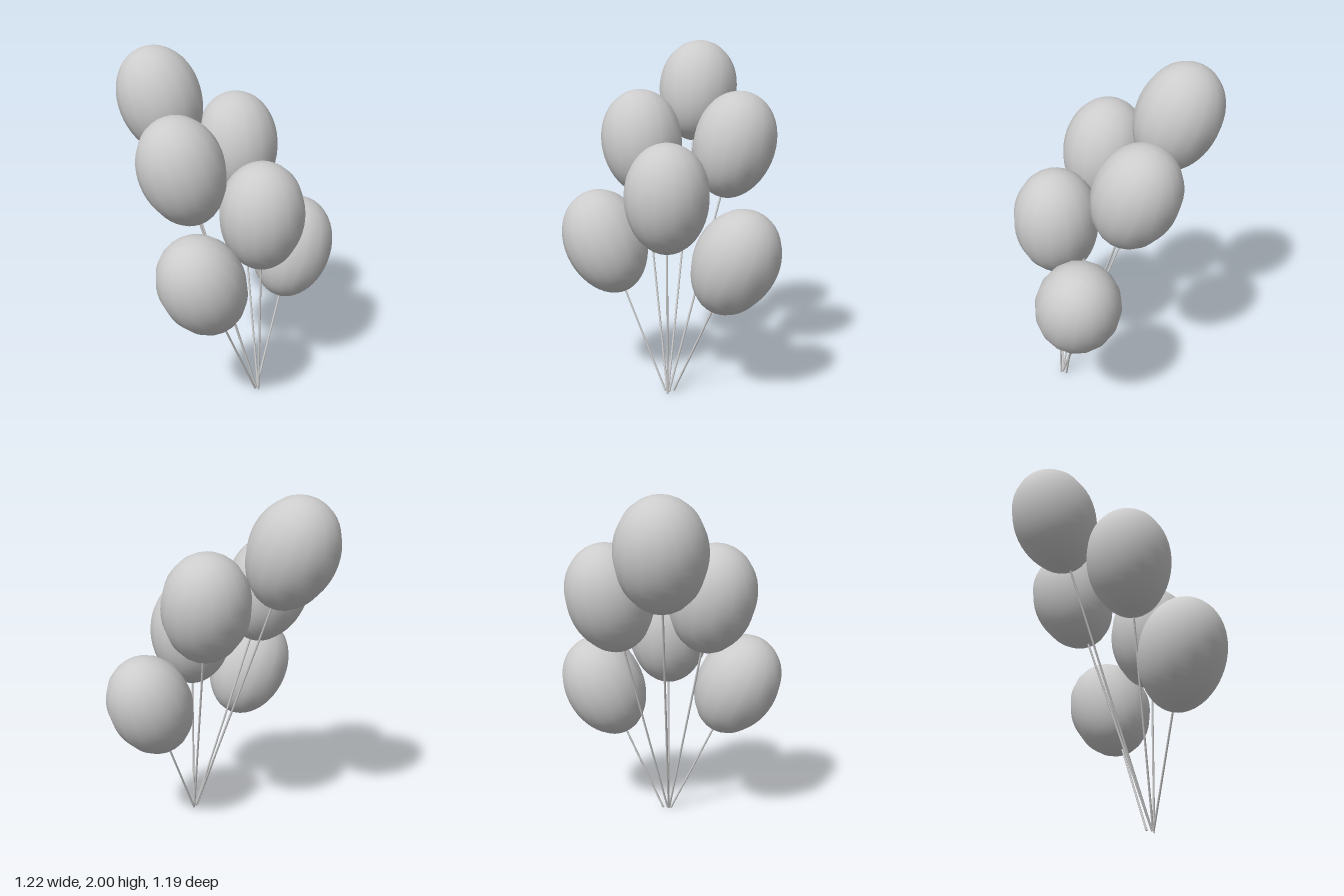
import * as THREE from 'three';

const RADIUS = 0.238, HALF_HEIGHT = 0.31, STRING_RADIUS = 0.006;
const UP = new THREE.Vector3(0, 1, 0);

// string foot and balloon centre of each balloon
const BALLOONS = [
  { foot: [0.08, 0.01, 0.14], centre: [-0.37, 1.697, -0.35] },   // top
  { foot: [0.08, 0.01, 0.145], centre: [-0.325, 1.415, 0.07] },  // upper pair
  { foot: [0.09, 0.01, 0.14], centre: [0.067, 1.415, -0.315] },
  { foot: [0.09, 0, 0.15], centre: [0.097, 1.15, 0.153] },       // middle
  { foot: [0.07, 0.01, 0.15], centre: [-0.275, 0.86, 0.345] },   // lower pair
  { foot: [0.095, 0.015, 0.11], centre: [0.357, 0.81, -0.125] },
];

// egg profile, slightly fuller above the middle
function eggGeometry() {
  const points = [];
  const steps = 24;
  for (let i = 0; i <= steps; i++) {
    const t = Math.PI * (1 - i / steps);
    const r = RADIUS * Math.sin(t) * (1 + 0.05 * Math.cos(t));
    points.push(new THREE.Vector2(Math.max(r, 0), HALF_HEIGHT * Math.cos(t)));
  }
  return new THREE.LatheGeometry(points, 16);
}

export function createModel() {
  const group = new THREE.Group();
  group.name = 'balloonBunch';
  const material = new THREE.MeshStandardMaterial({ color: 0xcccccc });
  const egg = eggGeometry();

  BALLOONS.forEach(({ foot, centre }, i) => {
    // each balloon leans along its own string
    const start = new THREE.Vector3(...foot);
    const axis = new THREE.Vector3(...centre).sub(start);
    const length = axis.length();
    const item = new THREE.Group();
    item.name = `balloonOnString${i + 1}`;
    item.position.copy(start);
    item.quaternion.setFromUnitVectors(UP, axis.normalize());

    const balloon = new THREE.Mesh(egg, material);
    balloon.name = 'balloon';
    balloon.position.y = length;

    const stringLength = length - HALF_HEIGHT + 0.01;
    const string = new THREE.Mesh(
      new THREE.CylinderGeometry(STRING_RADIUS, STRING_RADIUS, stringLength, 8), material);
    string.name = 'string';
    string.position.y = stringLength / 2;

    item.add(balloon, string);
    group.add(item);
  });
  return group;
}
